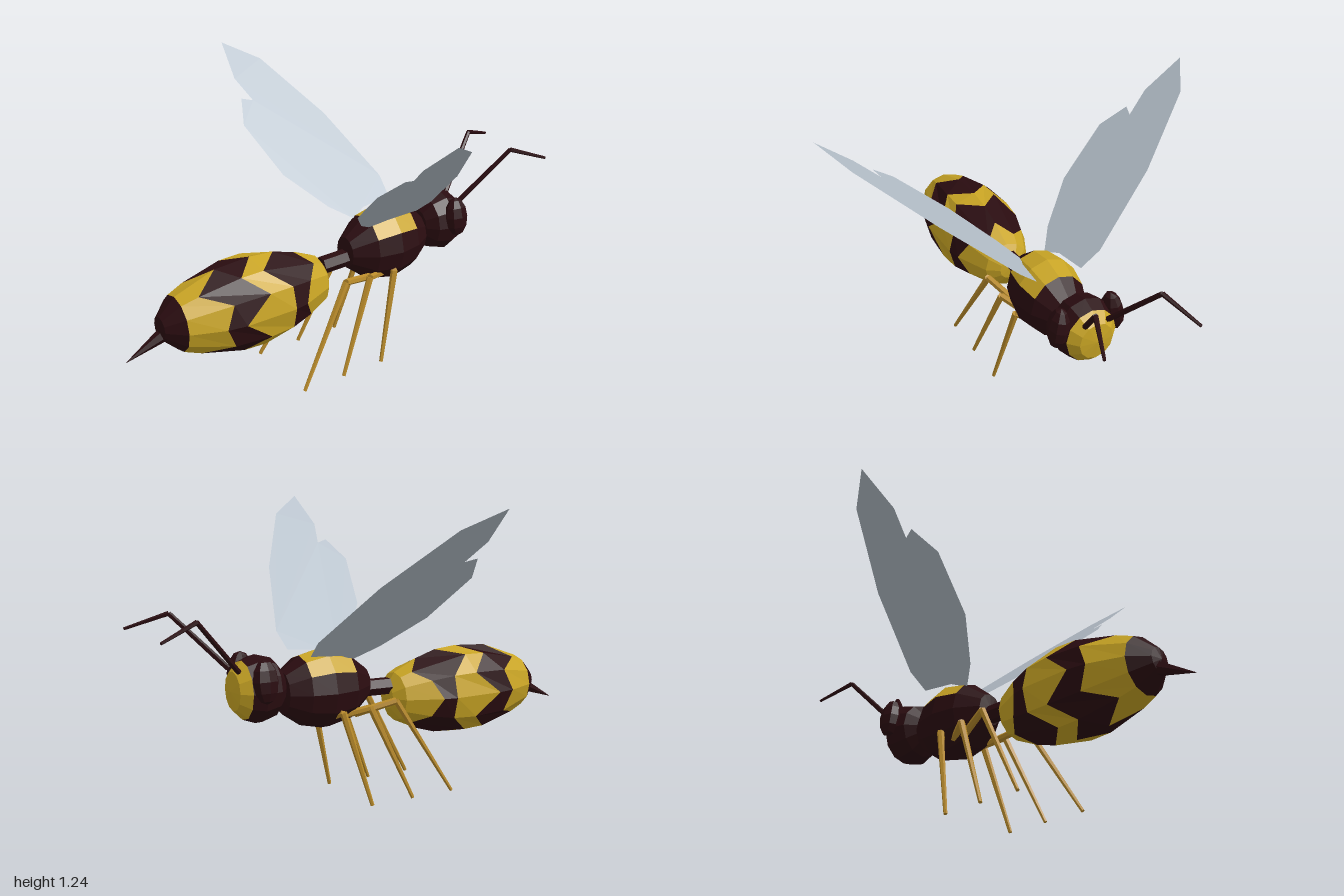
import * as THREE from 'three';

const mat = (name, color, extra = {}) => {
  const m = new THREE.MeshStandardMaterial({ color, flatShading: true, ...extra });
  m.name = name;
  return m;
};

const SIDES = 12;

// Radius of a profile of [x, r] points at a given x
function radiusAt(profile, x) {
  for (let i = 1; i < profile.length; i++) {
    const [x0, r0] = profile[i - 1], [x1, r1] = profile[i];
    if (x <= x1) return r0 + (r1 - r0) * (x - x0) / (x1 - x0);
  }
  return 0;
}

// Faceted body along x; xs(j) gives the ring positions for each rib, pick(i, j) the material of a facet
function body(name, profile, xs, y, zScale, pick) {
  const group = new THREE.Group();
  group.name = name;
  const point = (i, j) => {
    const x = xs(j % SIDES)[i], r = radiusAt(profile, x), a = j / SIDES * Math.PI * 2;
    return [x, y + r * Math.cos(a), r * Math.sin(a) * zScale];
  };
  const faces = new Map();
  for (let i = 0; i < xs(0).length - 1; i++) {
    for (let j = 0; j < SIDES; j++) {
      const m = pick(i, j);
      if (!faces.has(m)) faces.set(m, []);
      const a = point(i, j), b = point(i, j + 1), c = point(i + 1, j + 1), d = point(i + 1, j);
      faces.get(m).push(...a, ...b, ...c, ...a, ...c, ...d);
    }
  }
  for (const [m, pos] of faces) {
    const g = new THREE.BufferGeometry();
    g.setAttribute('position', new THREE.Float32BufferAttribute(pos, 3));
    g.computeVertexNormals();
    const mesh = new THREE.Mesh(g, m);
    mesh.name = `${name} ${m.name}`;
    group.add(mesh);
  }
  return group;
}

// Tapered rod between two points
function rod(name, from, to, r0, r1, material) {
  const a = new THREE.Vector3(...from), b = new THREE.Vector3(...to);
  const dir = b.clone().sub(a);
  const mesh = new THREE.Mesh(new THREE.CylinderGeometry(r1, r0, dir.length(), 6), material);
  mesh.position.copy(a).add(b).multiplyScalar(0.5);
  mesh.quaternion.setFromUnitVectors(new THREE.Vector3(0, 1, 0), dir.normalize());
  mesh.name = name;
  return mesh;
}

export function createModel() {
  const model = new THREE.Group();
  model.name = 'wasp';
  const yellow = mat('yellow', 0xc8a424);
  const dark = mat('dark brown', 0x2a0c10);
  const amber = mat('amber', 0xb88a2a);
  const grey = mat('wing grey', 0xb4bec8, { side: THREE.DoubleSide });

  // Abdomen with two zigzag bands and a dark tail cap
  const abdomen = [[-0.86, 0], [-0.85, 0.05], [-0.8, 0.11], [-0.62, 0.182], [-0.46, 0.196],
    [-0.29, 0.182], [-0.12, 0.105], [-0.085, 0.05], [-0.08, 0]];
  const abdomenRings = (j) => {
    const bands = j % 6 === 3 ? [-0.64, -0.56, -0.33, -0.27]
      : j % 2 ? [-0.71, -0.53, -0.43, -0.17] : [-0.6, -0.44, -0.33, -0.23];
    return [-0.86, -0.85, -0.78, ...bands, -0.12, -0.085, -0.08];
  };
  model.add(body('abdomen', abdomen, abdomenRings, 0.408, 0.97,
    (i) => (i < 2 || i === 3 || i === 5 ? dark : yellow)));
  model.add(rod('stinger', [-0.8, 0.395, 0], [-1, 0.307, 0], 0.036, 0.001, dark));
  model.add(rod('waist', [-0.09, 0.458, 0], [0.08, 0.462, 0], 0.038, 0.038, dark));

  // Thorax with a yellow back patch
  const thorax = [[0.03, 0], [0.035, 0.07], [0.13, 0.145], [0.24, 0.168], [0.34, 0.145],
    [0.42, 0.09], [0.44, 0]];
  model.add(body('thorax', thorax, () => thorax.map((p) => p[0]), 0.485, 0.87,
    (i, j) => ((i === 2 || i === 3) && (j < 2 || j > 9) ? yellow : dark)));

  // Head with a yellow face
  const head = [[0.425, 0], [0.43, 0.07], [0.47, 0.12], [0.54, 0.14], [0.595, 0.12],
    [0.635, 0.08], [0.645, 0]];
  model.add(body('head', head, () => head.map((p) => p[0]), 0.515, 0.92,
    (i) => (i > 3 ? yellow : dark)));

  // Wing outline as seen from above: x, distance from the middle
  const outline = [[0.12, 0.055], [0.19, 0.085], [0.34, 0.1], [0.35, 0.18], [0.24, 0.46], [0.07, 0.72],
    [-0.075, 0.81], [-0.1, 0.66], [-0.065, 0.565], [-0.115, 0.58], [-0.165, 0.48], [-0.1, 0.27], [0.03, 0.12]];

  for (const side of [1, -1]) {
    const label = side > 0 ? 'left' : 'right';

    const g = new THREE.ShapeGeometry(new THREE.Shape(outline.map(([x, z]) => new THREE.Vector2(x, z))));
    const p = g.attributes.position;
    for (let i = 0; i < p.count; i++) {
      const z = p.getY(i);
      p.setXYZ(i, p.getX(i), 0.555 + 0.847 * z, side * z);
    }
    g.computeVertexNormals();
    const wing = new THREE.Mesh(g, grey);
    wing.name = `${label} wing`;
    model.add(wing);

    const eye = new THREE.Mesh(new THREE.SphereGeometry(1, 8, 6), dark);
    eye.scale.set(0.055, 0.088, 0.042);
    eye.position.set(0.55, 0.565, side * 0.122);
    eye.rotation.x = side * -0.15;
    eye.name = `${label} eye`;
    model.add(eye);

    // Bent antenna
    const elbow = [0.835, 0.823, side * 0.14];
    model.add(rod(`${label} antenna base`, [0.63, 0.6, side * 0.05], elbow, 0.012, 0.01, dark));
    model.add(rod(`${label} antenna tip`, elbow, [0.997, 0.767, side * 0.2], 0.01, 0.006, dark));

    // Three legs: hip, knee, foot positions along x
    for (const [hip, knee, kneeY, foot] of [[0.23, 0.205, 0.4, 0.1], [0.18, 0.075, 0.405, -0.1], [0.12, -0.05, 0.42, -0.3]]) {
      const k = [knee, kneeY, side * 0.125];
      model.add(rod(`${label} thigh`, [hip, 0.375, side * 0.07], k, 0.016, 0.015, amber));
      model.add(rod(`${label} shin`, k, [foot, 0.006, side * 0.18], 0.015, 0.008, amber));
    }
  }
  return model;
}
